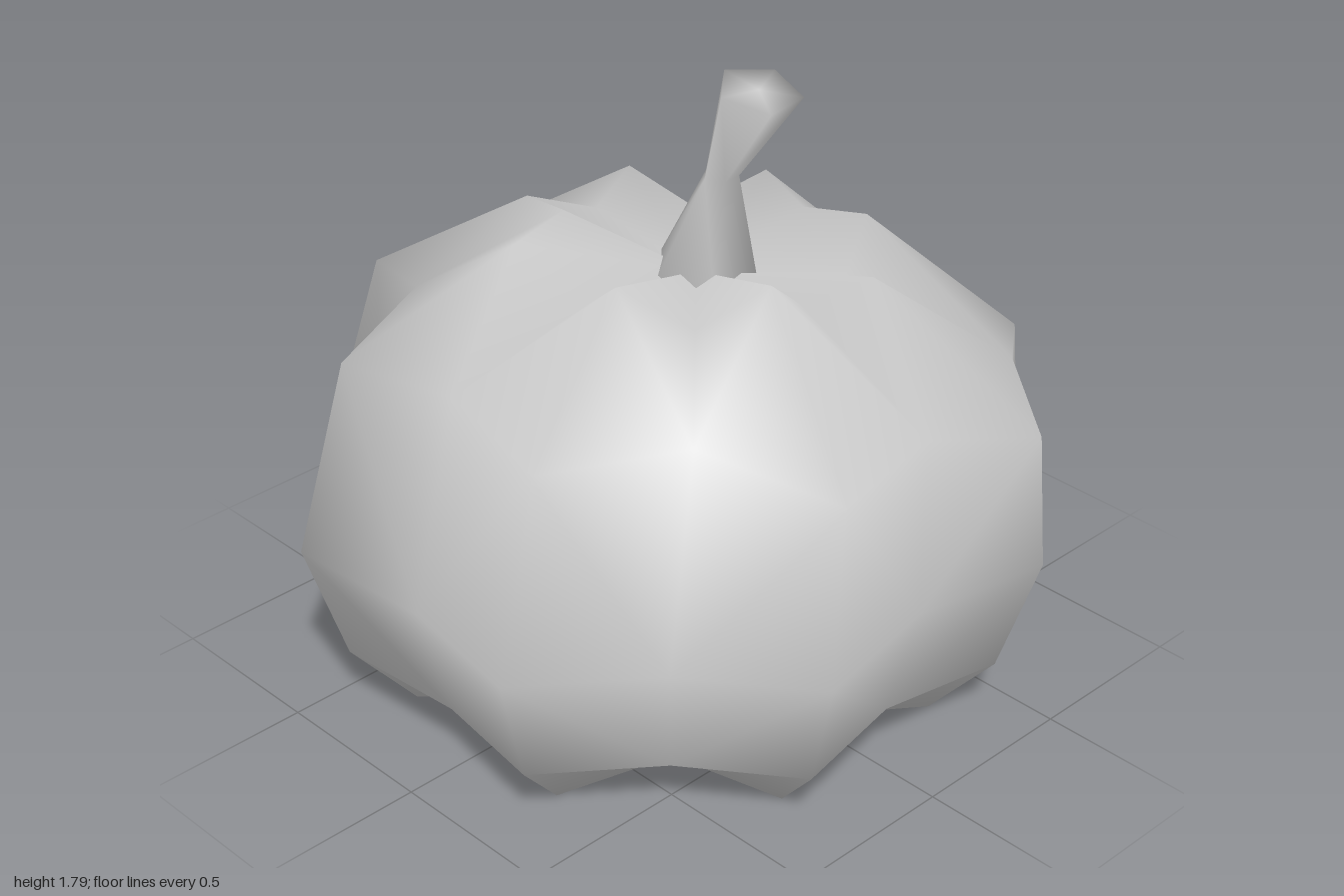
import * as THREE from 'three';

const material = new THREE.MeshStandardMaterial({ color: 0xcccccc, side: THREE.DoubleSide });

// Skin a stack of equal-length rings (bottom to top), closed by a point at each end.
// Quads split from the lower even column to the upper odd column.
function skin(rings, bottom, top) {
  const n = rings[0].length;
  const points = [...rings.flat(), bottom, top];
  const b = rings.length * n, t = b + 1, last = b - n;
  const index = [];
  for (let i = 0; i < n; i++) {
    const j = (i + 1) % n;
    for (let r = 0; r < rings.length - 1; r++) {
      const p = r * n, q = p + n;
      if (i % 2 === 0) index.push(p + i, p + j, q + j, p + i, q + j, q + i);
      else index.push(p + i, p + j, q + i, p + j, q + j, q + i);
    }
    index.push(b, j, i, t, last + i, last + j);
  }
  const geometry = new THREE.BufferGeometry();
  geometry.setAttribute('position', new THREE.Float32BufferAttribute(points.flat(), 3));
  geometry.setIndex(index);
  geometry.computeVertexNormals();
  return geometry;
}

// Lobed body: columns alternate groove, ridge, starting at the front and turning to +x.
function buildBody() {
  const grooveScale = [1.02, 1.01, 0.99, 1.02, 1.05, 0.88, 1, 0.9];
  const grooveBase = [0.12, 0.06, 0.065, 0.1, 0.12, 0.1, 0.065, 0.04];
  const grooveLift = [0.06, 0.1, 0.06, 0.06, 0, 0.06, 0.06, 0.08];
  const grooveTop = [1.25, 1.24, 1.25, 1.19, 1.25, 1.22, 1.25, 1.375];
  const ridgeTop = [1.4, 1.41, 1.29, 1.28, 1.28, 1.29, 1.33, 1.375];
  // small turns in degrees that make the lobes uneven
  const turn = { 1: -1, 10: 1.5, 14: -3, 15: -2 };
  // ridge radius, groove radius, centre z
  const rows = [
    [0.78, 0.61, 0],
    [0.965, 0.83, 0],
    [1.08, 0.93, 0],
    [1.0, 0.86, -0.08],
    [0.51, 0.4, -0.08],
  ];
  const rings = rows.map(([ridge, groove, cz], row) => {
    const ring = [];
    for (let i = 0; i < 16; i++) {
      const k = i >> 1, isRidge = i % 2 === 1;
      const a = THREE.MathUtils.degToRad(i * 22.5 + (turn[i] ?? 0));
      const r = isRidge ? ridge : groove * grooveScale[k];
      const x = r * Math.sin(a), z = cz + r * Math.cos(a);
      const y = [
        isRidge ? 0 : grooveBase[k],
        0.2,
        0.56,
        0.98 + 0.15 * z + (isRidge ? 0 : grooveLift[k]),
        isRidge ? ridgeTop[k] : grooveTop[k],
      ][row];
      ring.push([x, y, z]);
    }
    return ring;
  });
  return skin(rings, [0, 0.13, 0], [0, 1.2, -0.08]);
}

// Five-sided stem: flared foot, narrow waist, wide slanted end.
function buildStem() {
  const sections = [
    [0.005, 1.19, -0.09, 0.155, 0],
    [0.055, 1.5, -0.115, 0.05, 0],
    [0.15, 1.765, -0.16, 0.118, -0.2],
  ];
  const rings = sections.map(([cx, cy, cz, r, slope]) =>
    Array.from({ length: 5 }, (_, i) => {
      const a = (i / 5) * Math.PI * 2 - Math.PI / 2 + 0.1;
      const dx = r * Math.sin(a);
      return [cx + dx, cy + slope * dx, cz + r * Math.cos(a)];
    }));
  return skin(rings, [0, 1.0, -0.09], [0.15, 1.765, -0.16]);
}

export function createModel() {
  const group = new THREE.Group();
  group.name = 'pumpkin';
  const body = new THREE.Mesh(buildBody(), material);
  body.name = 'body';
  const stem = new THREE.Mesh(buildStem(), material);
  stem.name = 'stem';
  group.add(body, stem);
  return group;
}
